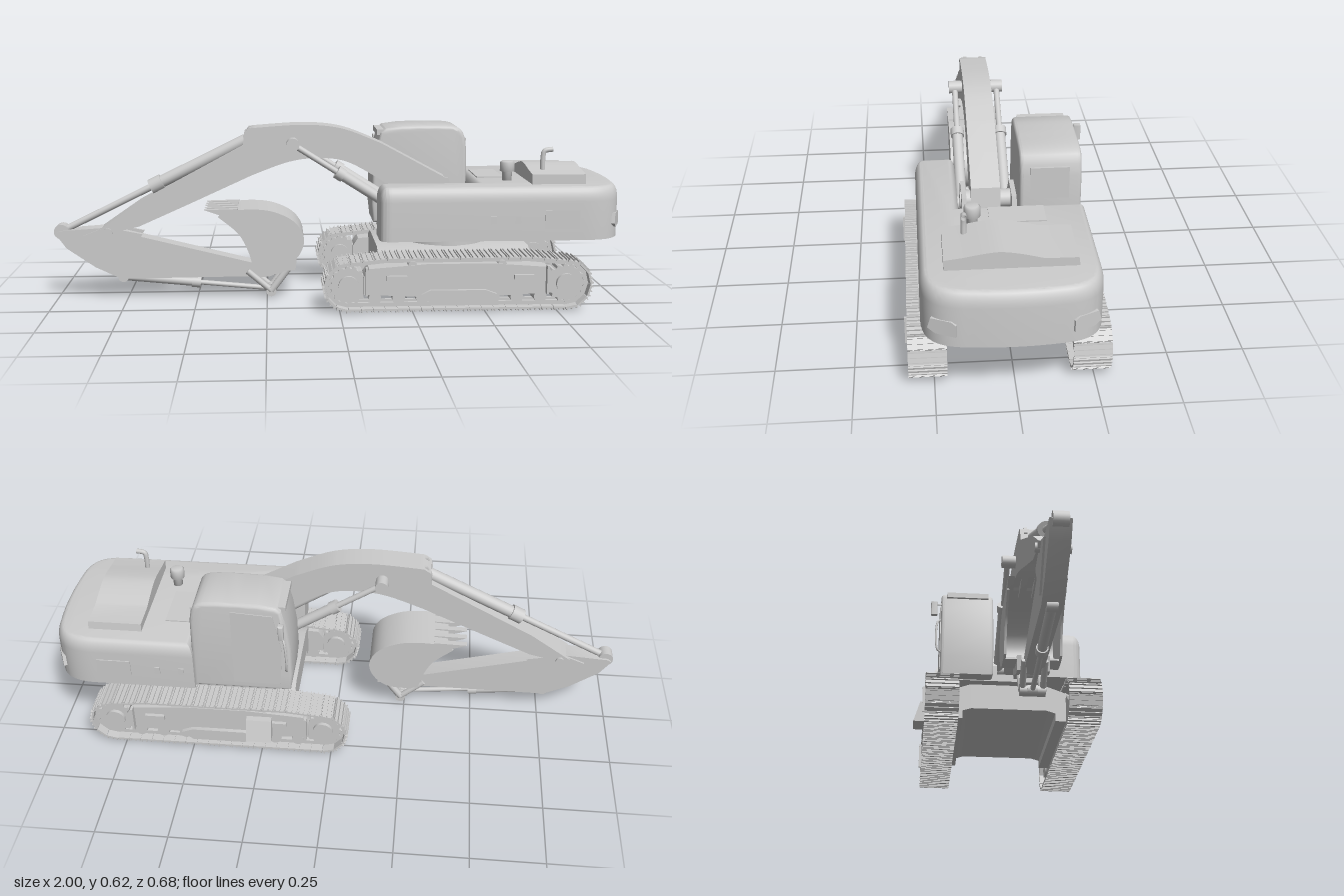
import * as THREE from 'three';
import { mergeGeometries, toCreasedNormals } from 'three/addons/utils/BufferGeometryUtils.js';

const grey = new THREE.MeshStandardMaterial({ color: 0xcccccc, side: THREE.DoubleSide });
const MID = 0.013;   // centre line of the carriage in z
const ARM = 0.057;   // centre line of the digging arm in z

const V = (x, y, z = ARM) => new THREE.Vector3(x, y, z);
const shapeOf = pts => new THREE.Shape(pts.map(p => new THREE.Vector2(p[0], p[1])));
const smooth = (pts, n = 24) =>
  new THREE.SplineCurve(pts.map(p => new THREE.Vector2(p[0], p[1]))).getPoints(n).map(p => [p.x, p.y]);

function add(parent, name, geo) {
  const mesh = new THREE.Mesh(geo, grey);
  mesh.name = name;
  parent.add(mesh);
  return mesh;
}
function group(parent, name) {
  const g = new THREE.Group();
  g.name = name;
  parent.add(g);
  return g;
}
const boxGeo = (x0, x1, y0, y1, z0, z1) =>
  new THREE.BoxGeometry(x1 - x0, y1 - y0, z1 - z0).translate((x0 + x1) / 2, (y0 + y1) / 2, (z0 + z1) / 2);
const box = (parent, name, ...b) => add(parent, name, boxGeo(...b));

// side profile (x, y) drawn out from z0 to z1
function slabGeo(shape, z0, z1, bevel = 0) {
  const geo = new THREE.ExtrudeGeometry(shape, {
    depth: z1 - z0 - 2 * bevel, bevelEnabled: bevel > 0, bevelThickness: bevel,
    bevelSize: bevel, bevelOffset: -bevel, bevelSegments: 3, curveSegments: 16 });
  return toCreasedNormals(geo.translate(0, 0, z0 + bevel), 0.6);
}
const slab = (parent, name, pts, z0, z1, bevel) => add(parent, name, slabGeo(shapeOf(pts), z0, z1, bevel));

// cross profile (z, y) drawn out from x0 to x1
const crossSlab = (parent, name, pts, x0, x1) =>
  add(parent, name, slabGeo(shapeOf(pts.map(p => [-p[0], p[1]])), x0, x1).rotateY(Math.PI / 2));

// round bar between two points
function bar(parent, name, a, b, r, sides = 20) {
  const dir = b.clone().sub(a);
  const mesh = add(parent, name, new THREE.CylinderGeometry(r, r, dir.length(), sides));
  mesh.position.copy(a).add(b).multiplyScalar(0.5);
  mesh.quaternion.setFromUnitVectors(new THREE.Vector3(0, 1, 0), dir.normalize());
  return mesh;
}
const pin = (parent, name, x, y, z, half, r) => bar(parent, name, V(x, y, z - half), V(x, y, z + half), r);

// hydraulic ram: barrel, collar, rod and an eye at each end
function ram(parent, name, a, b, split, r) {
  const g = group(parent, name), m = a.clone().lerp(b, split);
  bar(g, 'barrel', a, m, r);
  bar(g, 'collar', a.clone().lerp(b, split - 0.06), m, r * 1.25);
  bar(g, 'rod', m, b, r * 0.55);
  for (const p of [a, b]) pin(g, 'eye', p.x, p.y, p.z, r * 1.1, r * 1.2);
}

function buildTrack(parent, name, zc, out) {
  const g = group(parent, name);
  g.position.z = zc;
  const path = new THREE.Path();
  path.moveTo(0.03, 0.012).lineTo(0.785, 0.012);
  path.absarc(0.785, 0.09, 0.078, -Math.PI / 2, 1.47);
  path.lineTo(0.66, 0.182).lineTo(0.16, 0.182);
  path.absarc(0.03, 0.09, 0.078, Math.PI - 1.47, Math.PI * 1.5);
  // shoes with grousers and inner chain links
  const n = 48, pitch = path.getLength() / n, parts = [];
  for (let i = 0; i < n; i++) {
    const u = (i + 0.5) / n, p = path.getPointAt(u), t = path.getTangentAt(u);
    const shoe = [
      boxGeo(-pitch * 0.49, pitch * 0.49, -0.006, 0.001, -0.06, 0.06),
      ...[-0.4, 0, 0.4].map(k => boxGeo(k * pitch - 0.002, k * pitch + 0.002, -0.012, -0.005, -0.06, 0.06)),
      ...[-0.022, 0.022].map(z => boxGeo(-pitch * 0.52, pitch * 0.52, 0, 0.015, z - 0.006, z + 0.006))];
    for (const s of shoe) parts.push(s.rotateZ(Math.atan2(t.y, t.x)).translate(p.x, p.y, 0));
  }
  add(g, 'trackShoes', mergeGeometries(parts));
  // toothed end wheels
  for (const x of [0.03, 0.785]) {
    const rim = [];
    for (let i = 0; i < 64; i++) {
      const a = i * Math.PI / 32, r = i % 4 < 2 ? 0.068 : 0.06;
      rim.push([x + r * Math.cos(a), 0.09 + r * Math.sin(a)]);
    }
    slab(g, 'endWheel', rim, -0.035, 0.035);
    pin(g, 'wheelHub', x, 0.09, 0, 0.048, 0.035);
  }
  for (let i = 0; i < 8; i++) pin(g, 'lowerRoller', 0.12 + i * 0.082, 0.045, 0, 0.045, 0.022);
  for (const x of [0.25, 0.56]) pin(g, 'upperRoller', x, 0.158, 0, 0.04, 0.016);
  // side frame with guards
  slab(g, 'trackFrame', [[0.08, 0.06], [0.08, 0.12], [0.1, 0.15], [0.3, 0.165], [0.52, 0.165],
    [0.72, 0.15], [0.74, 0.12], [0.74, 0.06], [0.54, 0.05], [0.5, 0.03], [0.31, 0.03], [0.27, 0.05]], -0.045, 0.045);
  const z = out * 0.05;
  for (const x of [0.16, 0.6]) box(g, 'framePocket', x, x + 0.07, 0.108, 0.126, z - 0.008, z + 0.008);
  slab(g, 'frameGuard', [[0.28, 0.06], [0.31, 0.03], [0.5, 0.03], [0.54, 0.06], [0.5, 0.075], [0.31, 0.075]], z - 0.01, z + 0.01);
  for (const x of [0.09, 0.715]) box(g, 'guideTab', x - 0.004, x + 0.004, 0.06, 0.158, out * 0.057 - 0.011, out * 0.057 + 0.011);
}

function buildCarriage(root) {
  const g = group(root, 'undercarriage');
  buildTrack(g, 'leftTrack', 0.27, 1);
  buildTrack(g, 'rightTrack', -0.24, -1);
  const half = [[0.23, 0.06], [0.172, 0.06], [0.172, 0.09], [0.14, 0.1]];
  const top = [[0.145, 0.195], [0.23, 0.165]];
  const flip = l => l.map(([z, y]) => [-z, y]).reverse();
  crossSlab(g, 'crossFrame', [...half, ...flip(half), ...flip(top), ...top].map(([z, y]) => [z + MID, y]), 0.14, 0.68);
  crossSlab(g, 'boardingStep', [[-0.29, 0.148], [-0.314, 0.148], [-0.338, 0.07], [-0.29, 0.07]], 0.21, 0.3);
  for (const [r, y0, y1] of [[0.15, 0.19, 0.212], [0.135, 0.21, 0.24]])
    add(g, 'swingRing', new THREE.CylinderGeometry(r, r, y1 - y0, 40)).position.set(0.4, (y0 + y1) / 2, MID);
}

function buildHouse(root) {
  const g = group(root, 'house');
  // plan outline with a rounded tail and a bay for cab and boom
  const s = new THREE.Shape();
  s.moveTo(0.18, -0.288).lineTo(0.84, -0.288);
  s.bezierCurveTo(0.94, -0.288, 0.985, -0.25, 0.992, -0.15);
  s.quadraticCurveTo(1.008, -MID, 0.992, 0.125);
  s.bezierCurveTo(0.985, 0.22, 0.94, 0.26, 0.84, 0.26);
  s.lineTo(0.485, 0.26).lineTo(0.485, -0.15).lineTo(0.14, -0.15).lineTo(0.14, -0.25);
  s.quadraticCurveTo(0.14, -0.288, 0.18, -0.288);
  const geo = new THREE.ExtrudeGeometry(s, { depth: 0.135, bevelThickness: 0.05, bevelSize: 0.025,
    bevelOffset: -0.025, bevelSegments: 6, curveSegments: 20 });
  geo.rotateX(-Math.PI / 2).translate(0, 0.237, 0);
  const p = geo.attributes.position;
  for (let i = 0; i < p.count; i++) p.setY(i, Math.max(p.getY(i), 0.237));
  add(g, 'bodyShell', toCreasedNormals(geo, 0.6));
  box(g, 'bayFloor', 0.2, 0.5, 0.237, 0.265, -0.24, 0.16);
  for (const z of [-0.035, 0.13]) slab(g, 'boomMount', [[0.2, 0.24], [0.2, 0.3], [0.3, 0.41], [0.42, 0.41], [0.46, 0.24]], z - 0.008, z + 0.008);
  // engine hood and deck fittings
  crossSlab(g, 'engineHood', [[0.215, 0.415], [0.215, 0.456], ...smooth([[0.16, 0.463], [0.09, 0.475], [0.04, 0.478],
    [-0.02, 0.468], [-0.085, 0.451]], 14), [-0.185, 0.45], [-0.19, 0.415]], 0.677, 0.866);
  box(g, 'deckGrille', 0.51, 0.605, 0.415, 0.426, -0.12, 0.06);
  const cleaner = add(g, 'airCleaner', new THREE.LatheGeometry(
    [[0, 0], [0.017, 0], [0.017, 0.035], [0.026, 0.037], [0.026, 0.068], [0.02, 0.074], [0, 0.074]]
      .map(q => new THREE.Vector2(...q)), 24));
  cleaner.position.set(0.608, 0.418, 0.115);
  const pipe = new THREE.CatmullRomCurve3([V(0.728, 0.45, 0.148), V(0.728, 0.51, 0.148),
    V(0.733, 0.53, 0.148), V(0.762, 0.536, 0.148)]);
  add(g, 'exhaustPipe', new THREE.TubeGeometry(pipe, 20, 0.009, 12));
  // side vents, latches and tail lamps on both sides
  for (const z of [0.288, -0.26]) {
    box(g, 'sideVent', 0.71, 0.83, 0.278, 0.342, z - 0.004, z + 0.003);
    for (const x of [0.53, 0.615]) box(g, 'latch', x - 0.01, x + 0.01, 0.297, 0.323, z - 0.004, z + 0.003);
  }
  for (const sgn of [1, -1]) {
    const lamp = slab(g, 'tailLamp', [[-0.045, 0.275], [0.02, 0.275], [0.045, 0.29], [0.035, 0.325], [-0.03, 0.325], [-0.045, 0.315]]
      .map(([x, y]) => [-sgn * x, y]), -0.006, 0.006);
    lamp.position.set(0.971, 0, MID + sgn * 0.212);
    lamp.rotation.y = Math.PI / 2 - sgn * 0.42;
  }
}

function buildCab(root) {
  const g = group(root, 'cab');
  const front = [[0.146, 0.24], [0.138, 0.31], [0.142, 0.42], [0.155, 0.51], [0.172, 0.575]];
  slab(g, 'cabShell', [...front, [0.19, 0.59], ...smooth([[0.25, 0.598], [0.35, 0.6], [0.44, 0.596],
    [0.475, 0.575], [0.488, 0.52]], 12), [0.49, 0.42], [0.49, 0.24]], -0.246, -0.046, 0.012);
  slab(g, 'doorPanel', [[0.18, 0.27], [0.172, 0.42], [0.2, 0.56], [0.345, 0.57], [0.345, 0.27]], -0.249, -0.24);
  box(g, 'rearWindow', 0.48, 0.491, 0.44, 0.55, -0.205, -0.08);
  box(g, 'roofVisor', 0.158, 0.2, 0.565, 0.585, -0.225, -0.065);
  bar(g, 'mirrorArm', V(0.175, 0.537, -0.235), V(0.172, 0.537, -0.268), 0.003, 8);
  slab(g, 'mirror', [[0.16, 0.49], [0.16, 0.545], [0.178, 0.545], [0.178, 0.49]], -0.286, -0.261, 0.004);
  const rail = new THREE.CatmullRomCurve3([V(0.16, 0.33, -0.243), V(0.155, 0.34, -0.258), V(0.162, 0.46, -0.258), V(0.17, 0.47, -0.243)]);
  add(g, 'grabRail', new THREE.TubeGeometry(rail, 20, 0.004, 8));
}

function buildArm(root) {
  const g = group(root, 'diggingArm');
  // boom: bent box beam
  const upper = smooth([[-0.3, 0.612], [-0.21, 0.619], [-0.12, 0.623], [-0.03, 0.618], [0.05, 0.6], [0.16, 0.555]], 20);
  const lower = smooth([[0.15, 0.43], [0.04, 0.49], [-0.06, 0.505], [-0.17, 0.492], [-0.3, 0.445]], 20);
  slab(g, 'boom', [...upper, [0.39, 0.43], [0.4, 0.36], [0.34, 0.32], [0.27, 0.345], ...lower,
    [-0.52, 0.345], [-0.7, 0.265], [-0.83, 0.235], [-0.845, 0.25], [-0.7, 0.35], [-0.33, 0.55], [-0.325, 0.595]], 0.009, 0.106);
  pin(g, 'boomFootPin', 0.35, 0.37, ARM - 0.005, 0.09, 0.03);
  pin(g, 'boomTipPin', -0.81, 0.245, ARM, 0.056, 0.015);
  pin(g, 'boomRamPin', -0.155, 0.557, ARM - 0.002, 0.094, 0.022);
  for (const z of [-0.02, 0.132]) ram(g, 'boomRam', V(0.25, 0.3, z), V(-0.155, 0.557, z), 0.62, 0.019);
  // stick with its ram above the boom
  slab(g, 'stick', [[-0.998, 0.238], [-0.985, 0.247], [-0.83, 0.258], [-0.29, 0.122], [-0.235, 0.1], [-0.24, 0.078],
    [-0.3, 0.075], [-0.77, 0.072], [-0.86, 0.115], [-0.96, 0.185]], 0.024, 0.09);
  for (const z of [0.022, 0.092]) slab(g, 'stickCheek', [[-0.9, 0.23], [-0.82, 0.262], [-0.69, 0.235], [-0.78, 0.1]], z - 0.005, z + 0.005);
  ram(g, 'stickRam', V(-0.3, 0.575), V(-0.978, 0.243), 0.53, 0.022);
  for (const z of [0.028, 0.086]) slab(g, 'ramBracket', [[-0.25, 0.61], [-0.31, 0.612], [-0.33, 0.58], [-0.3, 0.535]], z - 0.006, z + 0.006);
  // bucket ram and linkage
  ram(g, 'bucketRam', V(-0.765, 0.075), V(-0.235, 0.022), 0.52, 0.016);
  for (const z of [0.022, 0.092]) {
    bar(g, 'rockerLink', V(-0.32, 0.095, z), V(-0.235, 0.022, z), 0.011, 10);
    bar(g, 'bucketLink', V(-0.235, 0.022, z), V(-0.165, 0.115, z), 0.013, 10);
  }
  pin(g, 'linkPin', -0.235, 0.02, ARM, 0.044, 0.018);
  pin(g, 'bucketLinkPin', -0.165, 0.115, ARM, 0.055, 0.015);
  pin(g, 'bucketPivotPin', -0.26, 0.095, ARM, 0.056, 0.018);
}

function buildBucket(root) {
  const g = group(root, 'bucket');
  const z0 = -0.045, z1 = 0.152;
  const outer = smooth([[-0.4, 0.325], [-0.3, 0.331], [-0.22, 0.32], [-0.15, 0.283], [-0.118, 0.225],
    [-0.135, 0.165], [-0.19, 0.122], [-0.275, 0.118]], 32);
  const inner = outer.map(([x, y]) => [x + (-0.27 - x) * 0.07, y + (0.22 - y) * 0.07]).reverse();
  slab(g, 'bucketShell', [...outer, ...inner], z0, z1);
  const mouth = smooth([[-0.3, 0.125], [-0.315, 0.18], [-0.35, 0.245], [-0.42, 0.305]], 12);
  for (const z of [z0, z1 - 0.008]) slab(g, 'bucketSide', [...outer, ...mouth], z, z + 0.008);
  for (let i = 0; i < 5; i++) {
    const z = z0 + 0.011 + i * (z1 - z0 - 0.022) / 4;
    slab(g, 'tooth', [[-0.468, 0.33], [-0.35, 0.333], [-0.35, 0.312], [-0.41, 0.31]], z - 0.011, z + 0.011);
  }
  for (const z of [0.008, 0.106]) slab(g, 'bucketEar', [[-0.285, 0.13], [-0.275, 0.078], [-0.245, 0.078],
    [-0.18, 0.1], [-0.148, 0.1], [-0.14, 0.17], [-0.2, 0.13]], z - 0.007, z + 0.007);
}

export function createModel() {
  const root = new THREE.Group();
  root.name = 'excavator';
  for (const build of [buildCarriage, buildHouse, buildCab, buildArm, buildBucket]) build(root);
  return root;
}
